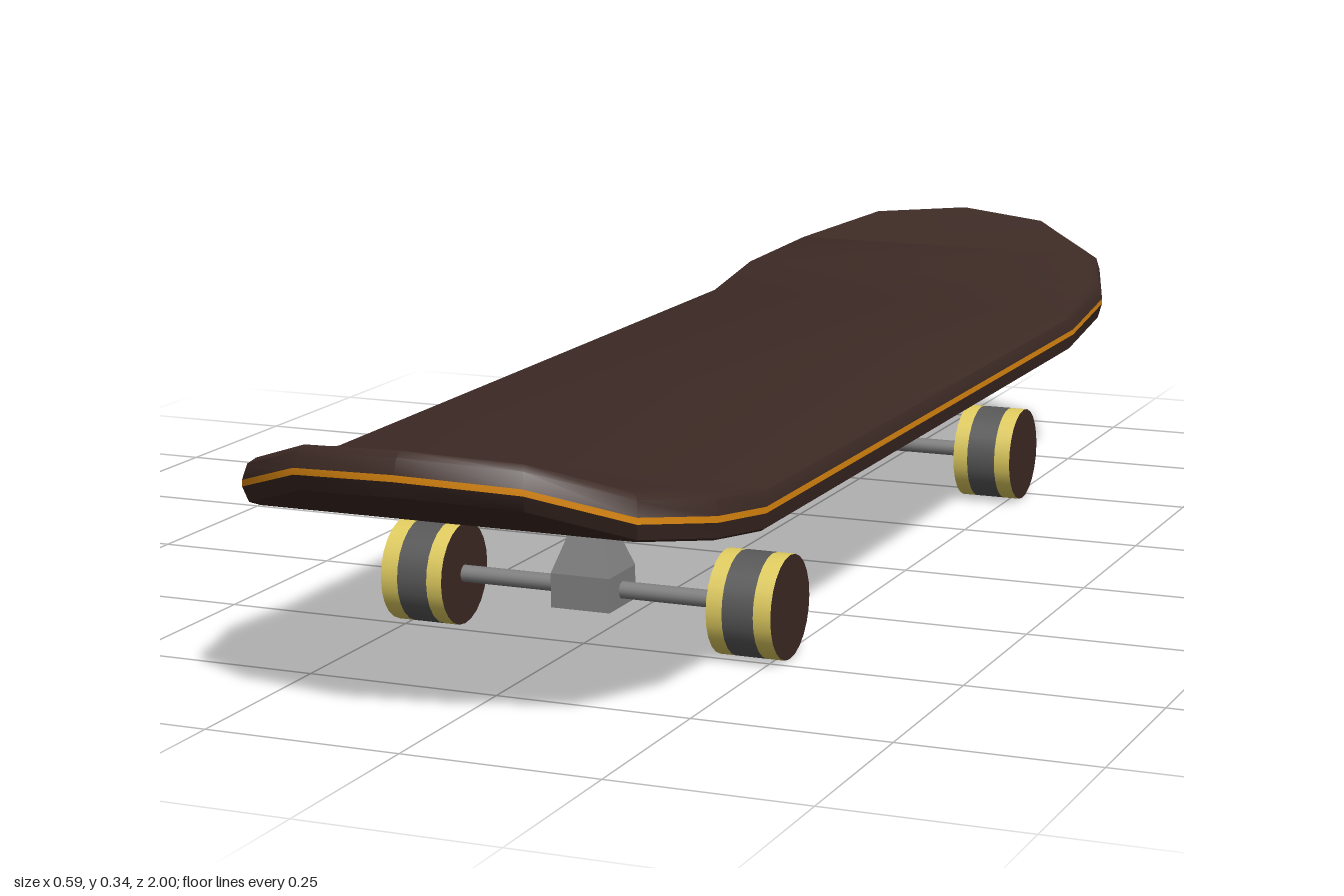
import * as THREE from 'three';
import { toCreasedNormals } from 'three/addons/utils/BufferGeometryUtils.js';

const mat = (color, extra = {}) => new THREE.MeshStandardMaterial({ color, ...extra });
const BROWN = mat(0x3d2a25), ORANGE = mat(0xe08a10), YELLOW = mat(0xe0cc60);
const DARK = mat(0x585858), METAL = mat(0x808080), METAL_FLAT = mat(0x808080, { flatShading: true });

// Deck outline from middle to tip: half width, z, height of the stripe
const HALF = [[0.293, 0.62, 0.225], [0.293, 0.77, 0.247], [0.25, 0.9, 0.27], [0.143, 0.97, 0.308], [0, 1, 0.318]];
const STATIONS = [...HALF.map(([x, z, y]) => [x, -z, y]).reverse(), ...HALF];
const LOOP = [...STATIONS, ...STATIONS.slice(1, -1).reverse().map(([x, z, y]) => [-x, z, y])];
const N = LOOP.length;

// Edge layers from bottom to top: inset in x, inset in z, offset in y
const LAYERS = [[0.013, 0.025, -0.03], [0.004, 0.01, -0.024], [0, 0, -0.004],
  [0, 0, 0.004], [0.004, 0.008, 0.022], [0.012, 0.018, 0.028]];

// Stacks the given layers into a shell; caps fill the bottom and top
function deckShell(layers, bottomCap, topCap) {
  const pos = [], idx = [];
  for (const [dx, dz, dy] of layers) {
    for (const [x, z, y] of LOOP) pos.push(x * (1 - dx / 0.293), y + dy, z * (1 - dz));
  }
  for (let l = 0; l < layers.length - 1; l++) {
    for (let i = 0; i < N; i++) {
      const j = (i + 1) % N, a = l * N, b = a + N;
      idx.push(a + i, b + i, b + j, a + i, b + j, a + j);
    }
  }
  const cap = (base, up) => {
    const tri = (a, b, c) => {
      if (a === b || b === c || a === c) return;
      idx.push(base + a, base + (up ? b : c), base + (up ? c : b));
    };
    for (let k = 0; k < STATIONS.length - 1; k++) {
      const left = (N - k) % N, leftNext = N - k - 1;
      tri(k, left, leftNext);
      tri(k, leftNext, k + 1);
    }
  };
  if (bottomCap) cap(0, false);
  if (topCap) cap((layers.length - 1) * N, true);
  const geo = new THREE.BufferGeometry();
  geo.setAttribute('position', new THREE.Float32BufferAttribute(pos, 3));
  geo.setIndex(idx);
  return toCreasedNormals(geo, 0.7);
}

function add(parent, name, geo, material, x = 0, y = 0, z = 0) {
  const mesh = new THREE.Mesh(geo, material);
  mesh.name = name;
  mesh.position.set(x, y, z);
  parent.add(mesh);
  return mesh;
}

// Cylinder lying along x
const rod = (r, length, sides, open = false) =>
  new THREE.CylinderGeometry(r, r, length, sides, 1, open).rotateZ(Math.PI / 2);

function makeWheel(name) {
  const wheel = new THREE.Group();
  wheel.name = name;
  // Three coloured tread bands, from the inside out
  [['innerBand', 0.18, 0.201, YELLOW], ['middleBand', 0.201, 0.242, DARK], ['outerBand', 0.242, 0.265, YELLOW]]
    .forEach(([band, a, b, m]) => add(wheel, band, rod(0.066, b - a, 24, true), m, (a + b) / 2));
  // Side faces
  for (const [face, x, s] of [['outerFace', 0.265, 1], ['innerFace', 0.18, -1]]) {
    add(wheel, face, new THREE.CircleGeometry(0.066, 24).rotateY(s * Math.PI / 2), BROWN, x);
  }
  return wheel;
}

function makeTruck(name, z) {
  const truck = new THREE.Group();
  truck.name = name;
  truck.position.z = z;
  add(truck, 'basePlate', new THREE.BoxGeometry(0.13, 0.011, 0.13), METAL, 0, 0.19);
  // Four-sided hanger, tapering up to the plate
  const profile = [[0, 0.046], [0.04, 0.046], [0.04, 0.09], [0.019, 0.15], [0.013, 0.186]]
    .map(([r, y]) => new THREE.Vector2(r * Math.SQRT2, y));
  add(truck, 'hanger', new THREE.LatheGeometry(profile, 4, Math.PI / 4), METAL_FLAT);
  add(truck, 'axle', rod(0.011, 0.37, 16), METAL, 0, 0.067);
  // Wheels, the right one turned to face outwards
  const left = makeWheel('leftWheel'), right = makeWheel('rightWheel');
  left.position.y = right.position.y = 0.067;
  right.rotation.y = Math.PI;
  truck.add(left, right);
  return truck;
}

export function createModel() {
  const model = new THREE.Group();
  model.name = 'skateboard';

  // Deck with a thin stripe around its edge
  const deck = new THREE.Group();
  deck.name = 'deck';
  add(deck, 'deckBottom', deckShell(LAYERS.slice(0, 3), true, false), BROWN);
  add(deck, 'deckStripe', deckShell(LAYERS.slice(2, 4), false, false), ORANGE);
  add(deck, 'deckTop', deckShell(LAYERS.slice(3), false, true), BROWN);
  model.add(deck);

  // Trucks with wheels
  model.add(makeTruck('frontTruck', 0.47), makeTruck('rearTruck', -0.47));
  return model;
}
